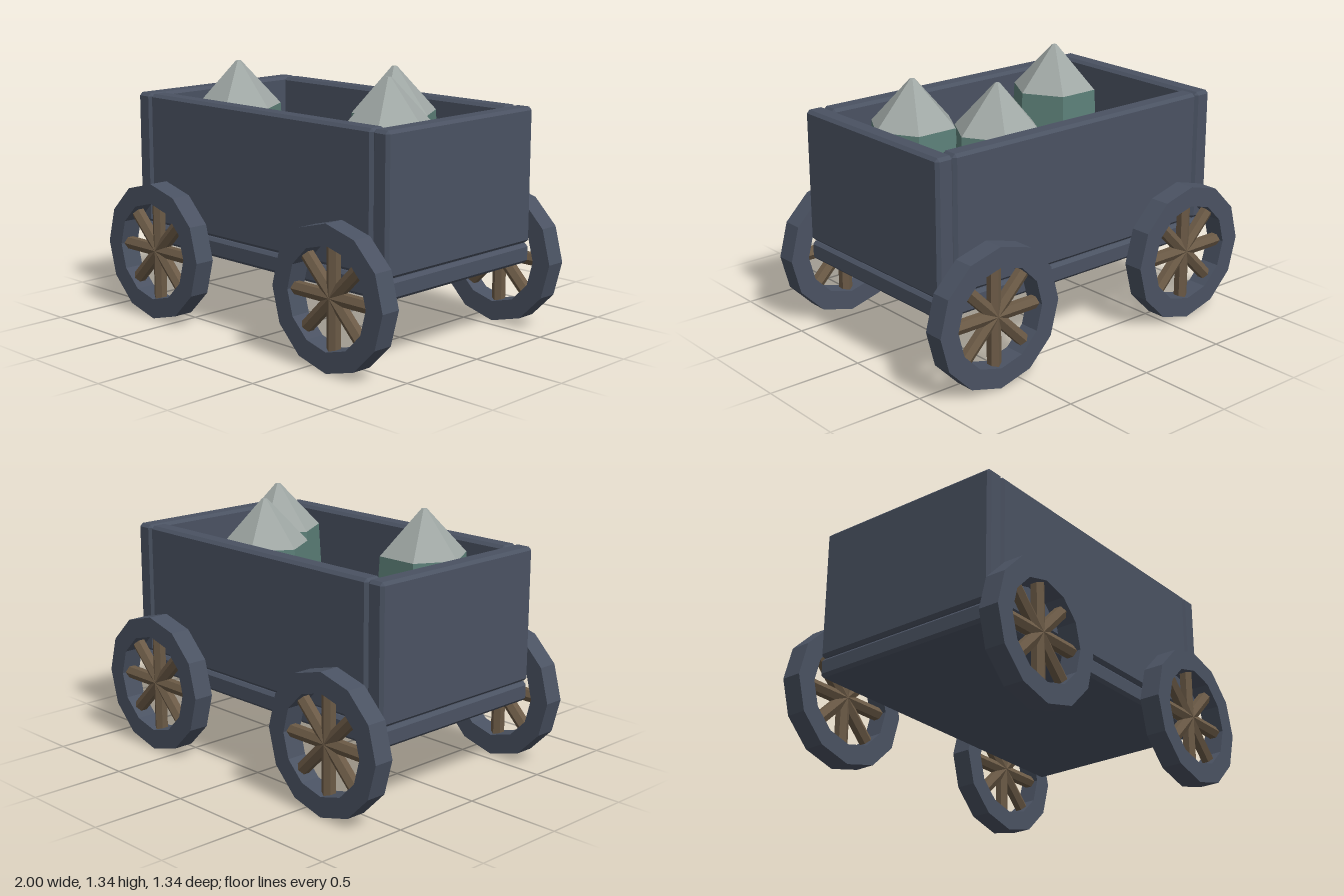
import * as THREE from 'three';
import { ConvexGeometry } from 'three/addons/geometries/ConvexGeometry.js';

const material = (color) => new THREE.MeshStandardMaterial({ color, flatShading: true });

// Box with every edge cut by a narrow chamfer
function chamferedBox(w, h, d, c = 0.016) {
  const points = [];
  for (const x of [-1, 1]) for (const y of [-1, 1]) for (const z of [-1, 1]) {
    for (let axis = 0; axis < 3; axis++) {
      const inset = [c, c, c];
      inset[axis] = 0;
      points.push(new THREE.Vector3(
        x * (w / 2 - inset[0]), y * (h / 2 - inset[1]), z * (d / 2 - inset[2])));
    }
  }
  return new ConvexGeometry(points);
}

export function createModel() {
  const model = new THREE.Group();
  model.name = 'oreCart';
  const slate = material(0x4a5262);
  const wood = material(0x6b5a46);
  const stone = material(0xa0a8a5);
  const green = material(0x5c7f78);

  const add = (parent, name, geometry, mat, x = 0, y = 0, z = 0) => {
    const mesh = new THREE.Mesh(geometry, mat);
    mesh.name = name;
    mesh.position.set(x, y, z);
    parent.add(mesh);
    return mesh;
  };

  // Open box: floor, long side walls and end walls
  add(model, 'floor', chamferedBox(1.79, 0.1, 1.06), slate, 0, 0.415, 0);
  const sideWall = chamferedBox(1.594, 0.69, 0.1);
  const endWall = chamferedBox(0.1, 0.69, 1.06);
  for (const s of [1, -1]) {
    add(model, s > 0 ? 'frontWall' : 'backWall', sideWall, slate, 0, 0.815, s * 0.48);
    add(model, s > 0 ? 'leftWall' : 'rightWall', endWall, slate, s * 0.847, 0.815, 0);
  }

  // Twelve-sided wheels with four bars crossing at the centre
  const rimProfile = [[0.256, -0.054], [0.36, -0.054], [0.36, 0.054], [0.256, 0.054], [0.256, -0.054]]
    .map(([r, y]) => new THREE.Vector2(r, y));
  const rimGeometry = new THREE.LatheGeometry(rimProfile, 12).rotateX(Math.PI / 2);
  const spokeGeometry = new THREE.CylinderGeometry(0.035, 0.035, 0.51, 6);
  for (const sx of [1, -1]) for (const sz of [1, -1]) {
    const wheel = new THREE.Group();
    wheel.name = `${sz > 0 ? 'front' : 'back'}${sx > 0 ? 'Left' : 'Right'}Wheel`;
    wheel.position.set(sx * 0.64, 0.36, sz * 0.614);
    add(wheel, 'rim', rimGeometry, slate);
    for (let i = 0; i < 4; i++) {
      add(wheel, 'spoke', spokeGeometry, wood).rotation.z = i * Math.PI / 4;
    }
    model.add(wheel);
  }

  // Six-sided crystals standing on the floor, with pale blunt tips
  const bodyGeometry = new THREE.CylinderGeometry(0.225, 0.262, 0.645, 6).rotateY(Math.PI / 2);
  const tipGeometry = new THREE.CylinderGeometry(0.014, 0.225, 0.23, 6).rotateY(Math.PI / 2);
  for (const [x, z] of [[-0.47, 0.2], [0.265, -0.2], [0.53, 0.13]]) {
    const crystal = new THREE.Group();
    crystal.name = 'crystal';
    crystal.position.set(x, 0, z);
    add(crystal, 'crystalBody', bodyGeometry, green, 0, 0.7825, 0);
    add(crystal, 'crystalTip', tipGeometry, stone, 0, 1.22, 0);
    model.add(crystal);
  }

  return model;
}
